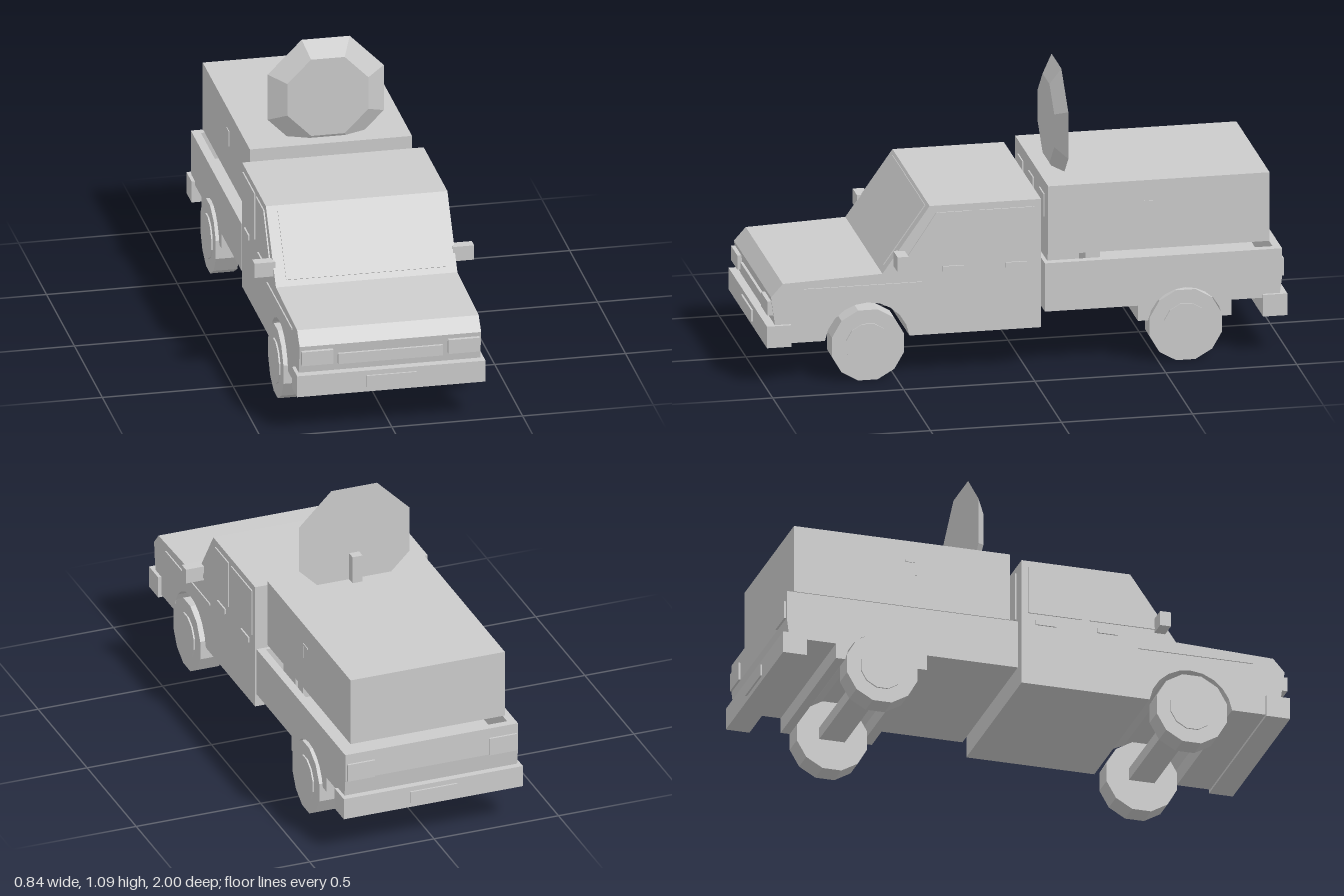
import * as THREE from 'three';

export function createModel() {
  const truck = new THREE.Group();
  truck.name = 'dishTruck';
  const grey = new THREE.MeshStandardMaterial({ color: 0xcccccc });
  grey.name = 'bodyGrey';

  const add = (name, geometry) => {
    const mesh = new THREE.Mesh(geometry, grey);
    mesh.name = name;
    truck.add(mesh);
    return mesh;
  };
  // Box given by its lower and upper limits on each axis
  const box = (name, x0, x1, y0, y1, z0, z1) =>
    add(name, new THREE.BoxGeometry(x1 - x0, y1 - y0, z1 - z0)
      .translate((x0 + x1) / 2, (y0 + y1) / 2, (z0 + z1) / 2));
  // Side outline of [z, y] points, extruded from x0 to x1
  const extrudeSide = (name, points, x0, x1) => {
    const shape = new THREE.Shape(points.map(([z, y]) => new THREE.Vector2(z, y)));
    const geometry = new THREE.ExtrudeGeometry(shape, { depth: x1 - x0, bevelEnabled: false });
    return add(name, geometry.rotateY(-Math.PI / 2).translate(x1, 0, 0));
  };
  // Wheel arch points running from low z to high z, starting at height y
  const arch = (zc, r, y) => {
    const start = Math.asin((y - 0.138) / r);
    return Array.from({ length: 11 }, (_, i) => {
      const a = Math.PI - start - (Math.PI - 2 * start) * i / 10;
      return [zc + r * Math.cos(a), 0.138 + r * Math.sin(a)];
    });
  };
  const frontZ = 0.608, rearZ = -0.605;

  // Cab with bonnet and raked windscreen
  extrudeSide('cab', [
    [-0.055, 0.16], ...arch(frontZ, 0.163, 0.16), [0.945, 0.16], [0.96, 0.235],
    [0.975, 0.345], [0.93, 0.395], [0.55, 0.41], [0.37, 0.665], [-0.055, 0.665],
  ], -0.347, 0.347);
  const windscreen = add('windscreen', new THREE.BoxGeometry(0.61, 0.275, 0.008));
  windscreen.position.set(0, 0.5425, 0.4565);
  windscreen.rotation.x = -0.615;
  box('cabRearWindow', -0.28, 0.28, 0.45, 0.64, -0.06, -0.054);

  // Load bed: lower body and four low walls
  extrudeSide('bedBase', [
    [-0.965, 0.22], [-0.782, 0.22], [-0.782, 0.16], ...arch(rearZ, 0.143, 0.16),
    [-0.425, 0.16], [-0.425, 0.22], [-0.07, 0.22], [-0.07, 0.3], [-0.975, 0.3],
  ], -0.347, 0.347);
  box('bedFrontWall', -0.347, 0.347, 0.3, 0.41, -0.085, -0.07);
  box('tailgate', -0.347, 0.347, 0.3, 0.41, -0.975, -0.945);

  // Equipment box on supports
  box('equipmentBox', -0.31, 0.31, 0.43, 0.7, -0.935, -0.09);
  for (const [z0, z1] of [[-0.22, -0.1], [-0.3, -0.245]]) {
    box('boxSupport', -0.25, 0.25, 0.3, 0.43, z0, z1);
  }
  for (const x of [-0.2, 0, 0.2]) {
    box('boxVent', x - 0.045, x + 0.045, 0.56, 0.65, -0.091, -0.085);
  }

  // Eight-sided dish, narrower at the front, and its post
  const k = Math.cos(Math.PI / 8);
  const dish = new THREE.CylinderGeometry(0.155 / k, 0.222 / k, 0.04, 8, 1)
    .rotateY(Math.PI / 8).rotateX(Math.PI / 2).toNonIndexed();
  dish.computeVertexNormals();
  add('dish', dish).position.set(0, 0.865, -0.165);
  box('dishPost', -0.02, 0.02, 0.69, 0.81, -0.22, -0.184);

  // Bumpers and number plates
  box('frontBumper', -0.36, 0.36, 0.15, 0.235, 0.9, 0.993);
  box('rearBumper', -0.36, 0.36, 0.15, 0.235, -0.993, -0.9);
  box('frontPlate', -0.095, 0.095, 0.17, 0.216, 0.992, 1);
  box('rearPlate', -0.095, 0.095, 0.17, 0.216, -1, -0.992);
  box('grille', -0.2, 0.2, 0.265, 0.307, 0.95, 0.98);

  // Axles
  for (const z of [frontZ, rearZ]) box('axle', -0.28, 0.28, 0.118, 0.165, z - 0.05, z + 0.05);

  // Parts repeated on both sides
  const side = (s, name, x0, x1, ...rest) =>
    box(name, Math.min(s * x0, s * x1), Math.max(s * x0, s * x1), ...rest);
  const disc = (name, r, width, sides, x, z) => {
    const geometry = new THREE.CylinderGeometry(r, r, width, sides, 1)
      .rotateY(Math.PI / sides).rotateZ(Math.PI / 2).toNonIndexed();
    geometry.computeVertexNormals();
    add(name, geometry).position.set(x, 0.138, z);
  };
  for (const s of [-1, 1]) {
    for (const z of [frontZ, rearZ]) {
      disc('wheel', 0.1425, 0.09, 12, s * 0.315, z);
      disc('hubcap', 0.087, 0.008, 12, s * 0.362, z);
    }
    side(s, 'bedSideWall', 0.315, 0.347, 0.3, 0.41, -0.945, -0.085);
    side(s, 'headlight', 0.22, 0.34, 0.272, 0.328, 0.95, 0.988);
    side(s, 'taillight', 0.23, 0.34, 0.3, 0.37, -0.983, -0.974);
    side(s, 'wingMirror', 0.34, 0.42, 0.437, 0.495, 0.465, 0.507);
    side(s, 'rearSideWindow', 0.346, 0.352, 0.45, 0.638, -0.03, 0.18);
    extrudeSide('frontSideWindow',
      [[0.21, 0.45], [0.47, 0.45], [0.345, 0.638], [0.21, 0.638]],
      s > 0 ? 0.346 : -0.352, s > 0 ? 0.352 : -0.346);
    for (const z of [0, 0.24]) side(s, 'doorHandle', 0.346, 0.353, 0.405, 0.425, z, z + 0.08);
    side(s, 'sideTrim', 0.346, 0.352, 0.362, 0.37, 0.4, 0.85);
    side(s, 'boxLatch', 0.309, 0.313, 0.56, 0.62, -0.462, -0.455);
    side(s, 'boxLatch', 0.309, 0.313, 0.613, 0.62, -0.5, -0.455);
  }
  return truck;
}
